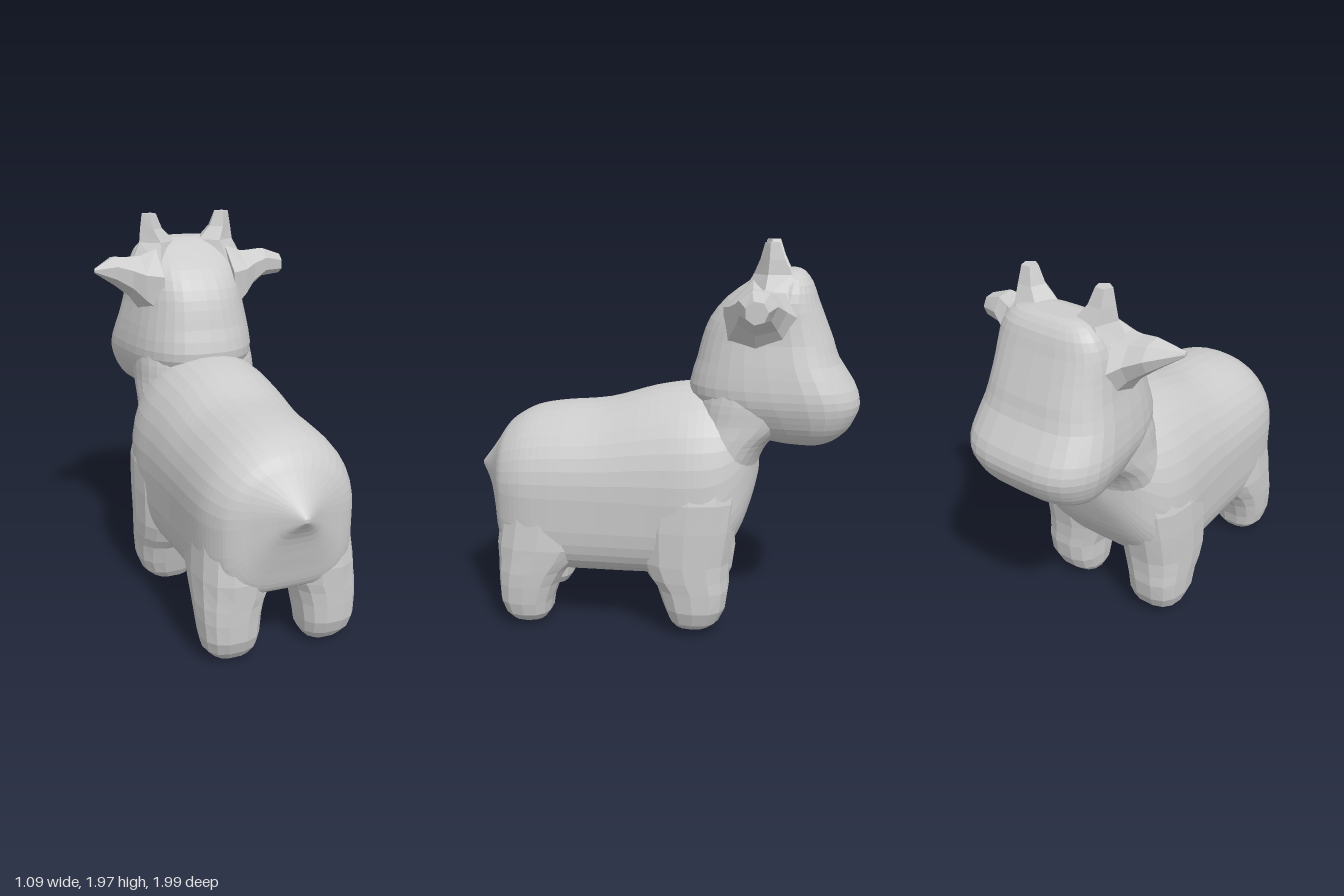
import * as THREE from 'three';

const material = new THREE.MeshStandardMaterial({ color: 0xcccccc, flatShading: true });

// Smoothly resample rows of section parameters
function resample(rows, count) {
  const columns = rows[0].map((_, c) => rows.map((r) => r[c]));
  return Array.from({ length: count + 1 }, (_, i) => {
    const f = (i / count) * (rows.length - 1);
    const k = Math.min(Math.floor(f), rows.length - 2);
    return columns.map((col) => {
      const [a, b] = [col[k], col[k + 1]];
      const ma = (b - (col[k - 1] ?? a)) / 2;
      const mb = ((col[k + 2] ?? b) - a) / 2;
      const t = f - k, t2 = t * t, t3 = t2 * t;
      return (2 * t3 - 3 * t2 + 1) * a + (t3 - 2 * t2 + t) * ma + (3 * t2 - 2 * t3) * b + (t3 - t2) * mb;
    });
  });
}

// Rounded-square outline on the unit circle; each half has its own power, higher is squarer
function outline(sides, upper, lower = upper, start = 0) {
  return Array.from({ length: sides }, (_, i) => {
    const a = start + (i / sides) * Math.PI * 2;
    const n = Math.sin(a) > 0 ? upper : lower;
    const curve = (v) => Math.sign(v) * Math.pow(Math.abs(v), 2 / n);
    return [curve(Math.cos(a)), curve(Math.sin(a))];
  });
}

// Closed skin over a list of equal-length rings
function loft(name, rings) {
  const n = rings[0].length, last = rings.length - 1;
  const points = rings.flat();
  const middle = (ring) => [0, 1, 2].map((k) => ring.reduce((s, p) => s + p[k], 0) / n);
  points.push(middle(rings[0]), middle(rings[last]));
  const faces = [];
  for (let j = 0; j < n; j++) {
    const k = (j + 1) % n;
    for (let i = 0; i < last; i++) {
      const a = i * n + j, b = i * n + k;
      faces.push([a, b, a + n], [b, b + n, a + n]);
    }
    faces.push([points.length - 2, k, j], [points.length - 1, last * n + j, last * n + k]);
  }
  // Turn all faces outward
  let volume = 0;
  for (const f of faces) {
    const [a, b, c] = f.map((i) => new THREE.Vector3(...points[i]));
    volume += a.dot(b.cross(c));
  }
  if (volume < 0) faces.forEach((f) => f.reverse());
  const geometry = new THREE.BufferGeometry();
  geometry.setAttribute('position', new THREE.Float32BufferAttribute(points.flat(), 3));
  geometry.setIndex(faces.flat());
  geometry.computeVertexNormals();
  const mesh = new THREE.Mesh(geometry, material);
  mesh.name = name;
  return mesh;
}

// Upright loft from rows [y, x centre, z centre, x radius, z radius]
function upright(name, rows, shape, side = 1) {
  return loft(name, rows.map(([y, x, z, rx, rz]) =>
    shape.map(([u, v]) => [side * (x + u * rx), y, z + v * rz])));
}

// Barrel body with pointed tail: [z, bottom, widest height, top, half width]
function body() {
  const rows = [
    [1.0, 0.78, 0.79, 0.8, 0.01], [0.93, 0.68, 0.78, 0.89, 0.11], [0.88, 0.52, 0.75, 0.96, 0.21],
    [0.845, 0.4, 0.73, 1.01, 0.29], [0.8, 0.36, 0.72, 1.055, 0.34], [0.7, 0.33, 0.72, 1.11, 0.385],
    [0.55, 0.29, 0.72, 1.14, 0.4], [0.3, 0.285, 0.72, 1.165, 0.405], [0.05, 0.29, 0.72, 1.235, 0.42],
    [-0.15, 0.3, 0.72, 1.265, 0.435], [-0.3, 0.38, 0.74, 1.26, 0.41], [-0.4, 0.52, 0.82, 1.22, 0.34],
    [-0.46, 0.68, 0.9, 1.17, 0.24], [-0.49, 0.8, 0.95, 1.08, 0.12],
  ];
  const shape = outline(40, 2.1, 4);
  return loft('body', resample(rows, 52).map(([z, lo, mid, hi, w]) =>
    shape.map(([u, v]) => [u * w, mid + v * (v > 0 ? hi - mid : mid - lo), z])));
}

// Head with broad muzzle: [y, back z, front z, half width]
function head() {
  const rows = [
    [0.99, -0.54, -0.83, 0.2], [1.02, -0.44, -0.88, 0.28], [1.07, -0.33, -0.935, 0.335],
    [1.13, -0.24, -0.97, 0.365], [1.2, -0.15, -0.99, 0.385], [1.28, -0.13, -0.965, 0.385],
    [1.4, -0.165, -0.885, 0.36], [1.5, -0.19, -0.85, 0.335], [1.6, -0.23, -0.81, 0.32],
    [1.7, -0.31, -0.77, 0.305], [1.78, -0.42, -0.74, 0.27], [1.83, -0.5, -0.7, 0.21],
    [1.845, -0.55, -0.67, 0.13],
  ];
  const shape = outline(32, 2.7, 3.3);
  return loft('head', resample(rows, 24).map(([y, back, front, w]) =>
    shape.map(([u, v]) => {
      const taper = 1 - 0.15 * Math.max(v + 0.5, 0); // narrower towards the nape
      return [u * w * taper, y, (back + front) / 2 + (v * (back - front)) / 2];
    })));
}

export function createModel() {
  const group = new THREE.Group();
  group.add(body(), head());

  // Neck and chest leaning forward into the head
  group.add(upright('neck', resample([
    [0.6, 0, -0.24, 0.24, 0.16], [0.75, 0, -0.28, 0.3, 0.185], [0.9, 0, -0.31, 0.345, 0.19],
    [1.0, 0, -0.35, 0.345, 0.21], [1.1, 0, -0.42, 0.335, 0.26], [1.2, 0, -0.45, 0.33, 0.28],
    [1.32, 0, -0.48, 0.31, 0.28],
  ], 18), outline(28, 2.5)));

  const rearLeg = [
    [0.01, 0.24, 0.7, 0.05, 0.05], [0.05, 0.25, 0.69, 0.12, 0.11], [0.14, 0.255, 0.7, 0.145, 0.14],
    [0.28, 0.25, 0.675, 0.16, 0.17], [0.36, 0.23, 0.64, 0.18, 0.21],
    [0.5, 0.22, 0.6, 0.185, 0.25], [0.8, 0.19, 0.58, 0.18, 0.21],
  ];
  const frontLeg = [
    [0.03, 0.24, -0.17, 0.06, 0.06], [0.05, 0.26, -0.18, 0.12, 0.11], [0.14, 0.275, -0.19, 0.155, 0.155],
    [0.28, 0.275, -0.175, 0.165, 0.19], [0.36, 0.26, -0.14, 0.185, 0.22],
    [0.6, 0.25, -0.15, 0.195, 0.25], [0.8, 0.22, -0.18, 0.205, 0.24], [1.0, 0.13, -0.22, 0.2, 0.2],
  ];
  // Ear rows: [x, y centre, z centre, y radius, z radius]; one ear is pointed, one blunt
  const ear = [
    [0.2, 1.58, -0.51, 0.23, 0.22], [0.29, 1.62, -0.5, 0.155, 0.175], [0.35, 1.66, -0.49, 0.11, 0.125],
    [0.43, 1.695, -0.48, 0.08, 0.095],
  ];
  const earTips = { left: [0.54, 1.68, -0.48, 0.055, 0.055], right: [0.55, 1.71, -0.415, 0.012, 0.012] };
  const horn = [
    [1.72, 0.19, -0.55, 0.14, 0.16], [1.83, 0.17, -0.55, 0.105, 0.1],
    [1.9, 0.2, -0.545, 0.065, 0.065], [1.98, 0.21, -0.54, 0.042, 0.038],
  ];
  for (const [label, side] of [['left', 1], ['right', -1]]) {
    group.add(
      upright(`${label}RearLeg`, resample(rearLeg, 9), outline(14, 2.5), side),
      upright(`${label}FrontLeg`, resample(frontLeg, 10), outline(14, 2.5), side),
      upright(`${label}Horn`, horn, outline(5, 2, 2, 0.3), side),
      loft(`${label}Ear`, [...ear, earTips[label]].map(([x, y, z, ry, rz]) =>
        outline(7, 2, 2, 0.4).map(([u, v]) => [side * x, y + v * ry, z + u * rz]))),
    );
  }
  return group;
}
